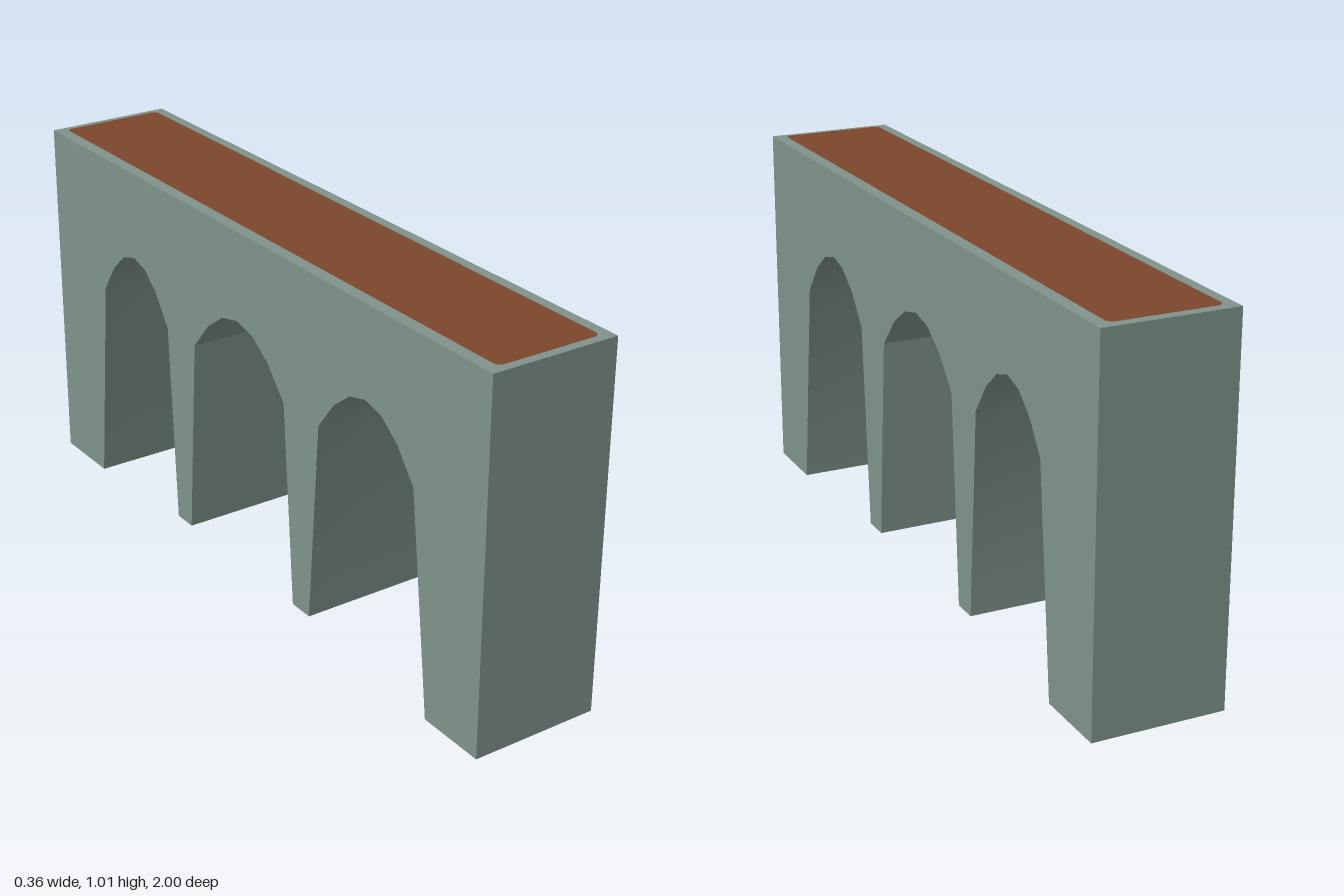
import * as THREE from 'three';
import { toCreasedNormals } from 'three/addons/utils/BufferGeometryUtils.js';

const HEIGHT = 1.008;
const WIDTH = 0.36;
const SPRING = 0.61; // height where each arch starts to curve
const PEAK = 0.76;

// Each opening: feet (position, height) and arch ends along the bridge
const openings = [
  { foot0: [-0.8, 0], start: -0.73, end: -0.34, foot1: [-0.3, 0.038] },
  { foot0: [-0.225, 0.038], start: -0.185, end: 0.245, foot1: [0.285, 0.038] },
  { foot0: [0.355, 0.038], start: 0.385, end: 0.73, foot1: [0.79, 0] },
];

export function createModel() {
  const stone = new THREE.MeshStandardMaterial({ color: 0x7f938b });
  stone.name = 'grey green stone';
  const deck = new THREE.MeshStandardMaterial({ color: 0x7c472c });
  deck.name = 'brown deck';

  const group = new THREE.Group();
  group.name = 'archBridge';

  // Side profile with three parabolic arches, extruded across the width
  const profile = new THREE.Shape();
  profile.moveTo(-1, 0);
  for (const { foot0, start, end, foot1 } of openings) {
    profile.lineTo(...foot0);
    profile.lineTo(start, SPRING);
    profile.quadraticCurveTo((start + end) / 2, 2 * PEAK - SPRING, end, SPRING);
    profile.lineTo(...foot1);
  }
  profile.lineTo(1, 0);
  profile.lineTo(1, HEIGHT);
  profile.lineTo(-1, HEIGHT);
  profile.closePath();

  const body = new THREE.ExtrudeGeometry(profile, { depth: WIDTH, bevelEnabled: false, curveSegments: 6 });
  body.translate(0, 0, -WIDTH / 2);
  body.rotateY(Math.PI / 2);
  const bridge = new THREE.Mesh(toCreasedNormals(body, THREE.MathUtils.degToRad(35)), stone);
  bridge.name = 'arcadeWall';
  group.add(bridge);

  // Thin roadway panel with clipped corners, leaving a stone rim
  const w = 0.148, l = 0.978, c = 0.012;
  const panel = new THREE.Shape([
    [-w + c, -l], [w - c, -l], [w, -l + c], [w, l - c],
    [w - c, l], [-w + c, l], [-w, l - c], [-w, -l + c],
  ].map(([x, y]) => new THREE.Vector2(x, y)));
  const roadGeometry = new THREE.ShapeGeometry(panel);
  roadGeometry.rotateX(-Math.PI / 2);
  const road = new THREE.Mesh(roadGeometry, deck);
  road.name = 'roadway';
  road.position.y = HEIGHT + 0.002;
  group.add(road);

  return group;
}
